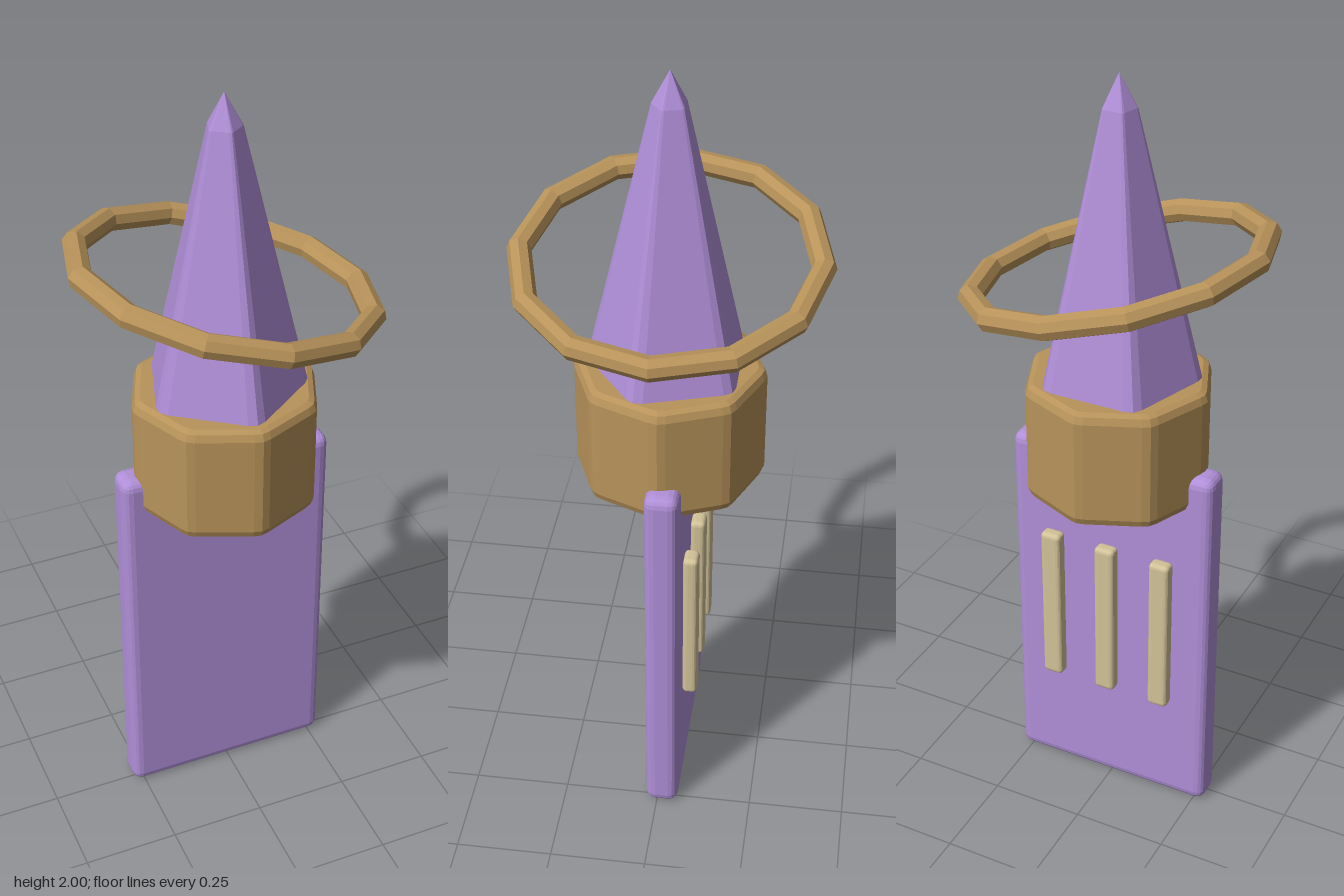
import * as THREE from 'three';
import { RoundedBoxGeometry } from 'three/addons/geometries/RoundedBoxGeometry.js';

const mat = (name, color) => {
  const m = new THREE.MeshStandardMaterial({ color, flatShading: true });
  m.name = name;
  return m;
};

// Upright prism with softened corners: levels are [height, scale] pairs, bottom to top.
function softPrism(sides, radius, bevelRadius, bevelAngle, levels) {
  const outline = [];
  for (let i = 0; i < sides; i++) {
    const a = (i / sides) * Math.PI * 2;
    for (const [da, r] of [[-bevelAngle, bevelRadius], [0, radius], [bevelAngle, bevelRadius]]) {
      outline.push([Math.sin(a + da) * r, Math.cos(a + da) * r]);
    }
  }
  const n = outline.length;
  const pos = [];
  const index = [];
  for (const [y, s] of levels) for (const [x, z] of outline) pos.push(x * s, y, z * s);
  for (let l = 0; l < levels.length - 1; l++) {
    for (let i = 0; i < n; i++) {
      const a = l * n + i, b = l * n + (i + 1) % n;
      index.push(a, b, b + n, a, b + n, a + n);
    }
  }
  // Caps fan out from a centre point
  const bottom = pos.length / 3;
  const last = (levels.length - 1) * n;
  pos.push(0, levels[0][0], 0, 0, levels[levels.length - 1][0], 0);
  for (let i = 0; i < n; i++) {
    const j = (i + 1) % n;
    index.push(bottom, j, i, bottom + 1, last + i, last + j);
  }
  const g = new THREE.BufferGeometry();
  g.setAttribute('position', new THREE.Float32BufferAttribute(pos, 3));
  g.setIndex(index);
  g.computeVertexNormals();
  return g;
}

export function createModel() {
  const model = new THREE.Group();
  const purple = mat('purple', 0xb08fd8);
  const bronze = mat('bronze', 0xb8935a);
  const cream = mat('cream', 0xd2c298);

  const add = (name, geometry, material, x = 0, y = 0, z = 0) => {
    const mesh = new THREE.Mesh(geometry, material);
    mesh.name = name;
    mesh.position.set(x, y, z);
    model.add(mesh);
    return mesh;
  };

  // Flat body slab
  add('slab', new RoundedBoxGeometry(0.56, 1.026, 0.086, 2, 0.026), purple, 0, 0.513, -0.013);

  // Three raised bars on the back
  for (const x of [-0.155, 0, 0.155]) {
    add('backBar', new RoundedBoxGeometry(0.056, 0.45, 0.038, 2, 0.012), cream, x, 0.545, -0.075);
  }

  // Eight-sided collar with bevelled rims
  add('collar', softPrism(8, 0.238, 0.234, 0.087,
    [[0.93, 0.91], [0.937, 0.97], [0.955, 1], [1.22, 1], [1.238, 0.97], [1.245, 0.91]]), bronze);

  // Five-sided spike with a blunter tip
  add('spike', softPrism(5, 0.205, 0.198, 0.113,
    [[1.2, 1.04], [1.24, 1], [1.92, 0.21], [2, 0.001]]), purple);

  // Tilted floating ring
  const ring = add('ring', new THREE.TorusGeometry(0.36, 0.03, 8, 12).rotateX(Math.PI / 2), bronze, 0, 1.53, 0);
  ring.rotation.z = -0.23;

  return model;
}
